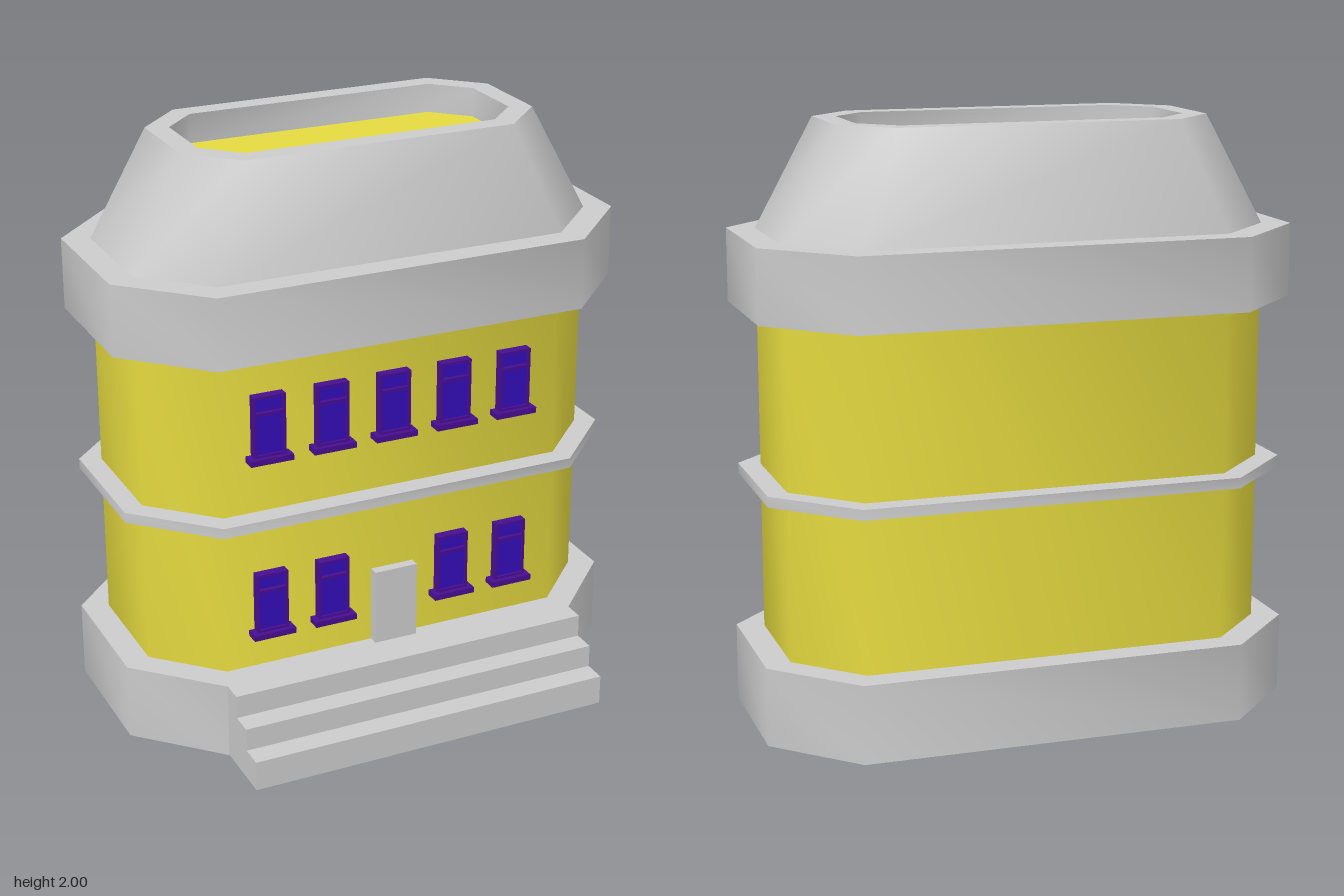
import * as THREE from 'three';
import { toCreasedNormals } from 'three/addons/utils/BufferGeometryUtils.js';

const material = (color) => new THREE.MeshStandardMaterial({ color });
const grey = material(0xcccccc);
const yellow = material(0xe5da40);
const frameColor = material(0x480e90);
const paneColor = material(0x330eb7);

const CENTRE_Z = -0.117; // centre of the octagonal tower
const FRONT_Z = 0.29; // front wall plane

function add(parent, name, geometry, mat, x = 0, y = 0, z = 0) {
  const mesh = new THREE.Mesh(geometry, mat);
  mesh.name = name;
  mesh.position.set(x, y, z);
  parent.add(mesh);
  return mesh;
}

function box(parent, name, mat, w, h, d, x, y, z) {
  return add(parent, name, new THREE.BoxGeometry(w, h, d), mat, x, y, z);
}

// Chamfered rectangle, counter-clockwise, half sizes w and d, chamfer c
function octagon(w, d, c) {
  return [[w, -d + c], [w, d - c], [w - c, d], [-w + c, d],
    [-w, d - c], [-w, -d + c], [-w + c, -d], [w - c, -d]].map(([x, y]) => new THREE.Vector2(x, y));
}

// Upright chamfered slab, softly shaded round the chamfers
function slab(parent, name, mat, outline, y0, y1, hole) {
  const shape = new THREE.Shape(outline);
  if (hole) shape.holes.push(new THREE.Path(hole));
  const geometry = new THREE.ExtrudeGeometry(shape, { depth: y1 - y0, bevelEnabled: false });
  geometry.rotateX(-Math.PI / 2);
  return add(parent, name, toCreasedNormals(geometry, 0.9), mat, 0, y0, CENTRE_Z);
}

// Rectangle path for window openings
function rect(Type, x0, y0, x1, y1) {
  return new Type([[x0, y0], [x1, y0], [x1, y1], [x0, y1]].map(([x, y]) => new THREE.Vector2(x, y)));
}

function createWindow(x, y) {
  const group = new THREE.Group();
  group.name = 'window';
  group.position.set(x, y, FRONT_Z);
  const frame = rect(THREE.Shape, -0.056, 0.02, 0.056, 0.232);
  frame.holes.push(rect(THREE.Path, -0.048, 0.028, 0.048, 0.165));
  frame.holes.push(rect(THREE.Path, -0.048, 0.175, 0.048, 0.224));
  add(group, 'windowFrame', new THREE.ExtrudeGeometry(frame, { depth: 0.033, bevelEnabled: false }), frameColor);
  box(group, 'lowerPane', paneColor, 0.1, 0.14, 0.024, 0, 0.097, 0.012);
  box(group, 'upperPane', paneColor, 0.1, 0.054, 0.018, 0, 0.2, 0.009);
  box(group, 'windowSill', frameColor, 0.15, 0.02, 0.05, 0, 0.01, 0.025);
  return group;
}

export function createModel() {
  const model = new THREE.Group();
  model.name = 'building';

  // Plinth, walls, ledge and cornice
  const wide = octagon(0.907, 0.497, 0.257);
  const wall = octagon(0.818, 0.407, 0.205);
  slab(model, 'plinth', grey, wide, 0, 0.265);
  slab(model, 'walls', yellow, wall, 0.265, 1.39);
  slab(model, 'ledge', grey, octagon(0.888, 0.48, 0.248), 0.8, 0.836);
  slab(model, 'cornice', grey, wide, 1.39, 1.635);

  // Tapering roof with a sunken top: loft the outer slope, rim and inner wall
  const rimOuter = octagon(0.63, 0.315, 0.157);
  const rimInner = octagon(0.557, 0.242, 0.115);
  const rings = [[wall, 1.635], [rimOuter, 2], [rimInner, 2], [rimInner, 1.9]];
  const positions = [];
  for (let r = 0; r < rings.length - 1; r++) {
    for (let i = 0; i < 8; i++) {
      const j = (i + 1) % 8;
      const corner = (k, n) => [rings[k][0][n].x, rings[k][1], -rings[k][0][n].y];
      const [a, b, c, d] = [corner(r, i), corner(r, j), corner(r + 1, j), corner(r + 1, i)];
      positions.push(...a, ...b, ...c, ...a, ...c, ...d);
    }
  }
  const roof = new THREE.BufferGeometry();
  roof.setAttribute('position', new THREE.Float32BufferAttribute(positions, 3));
  add(model, 'roof', toCreasedNormals(roof, 0.9), grey, 0, 0, CENTRE_Z);
  slab(model, 'roofFloor', yellow, rimInner, 1.88, 1.9);

  // Front steps
  const steps = new THREE.Group();
  steps.name = 'frontSteps';
  model.add(steps);
  const profile = [[0.3, 0], [0.615, 0], [0.615, 0.105], [0.535, 0.105],
    [0.535, 0.185], [0.455, 0.185], [0.455, 0.265], [0.3, 0.265]];
  const stepShape = new THREE.Shape(profile.map(([z, y]) => new THREE.Vector2(-z, y)));
  const stepGeometry = new THREE.ExtrudeGeometry(stepShape, { depth: 1.296, bevelEnabled: false });
  stepGeometry.translate(0, 0, -0.648).rotateY(Math.PI / 2);
  add(steps, 'steps', stepGeometry, grey);

  // Door and the two rows of windows, the door replacing the middle lower one
  box(model, 'door', grey, 0.156, 0.27, 0.06, -0.003, 0.4, 0.295);
  for (let i = -2; i <= 2; i++) {
    const x = -0.009 + i * 0.2235;
    model.add(createWindow(x, 1.022));
    if (i !== 0) model.add(createWindow(x, 0.384));
  }

  return model;
}
